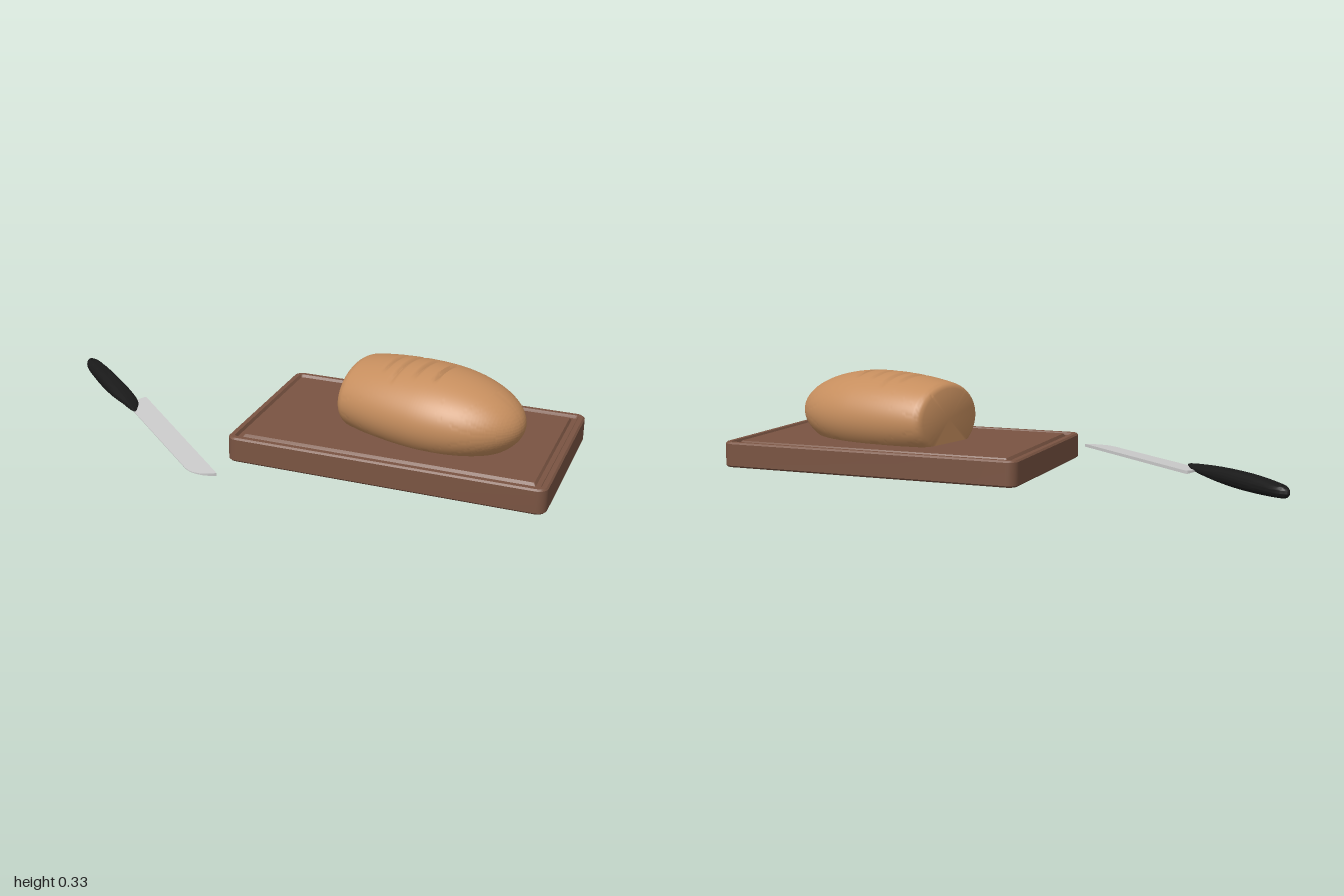
import * as THREE from 'three';
import { toCreasedNormals } from 'three/addons/utils/BufferGeometryUtils.js';

const paint = (color) => new THREE.MeshStandardMaterial({ color });

// Skin a list of closed rings of [x, y, z] points; loop joins the last ring to the first.
function loft(rings, loop = false) {
  const n = rings[0].length, m = rings.length, index = [];
  for (let i = 0; i < (loop ? m : m - 1); i++) {
    for (let j = 0; j < n; j++) {
      const a = i * n + j, b = i * n + (j + 1) % n;
      const k = ((i + 1) % m) * n;
      const c = k + (j + 1) % n, d = k + j;
      index.push(a, b, c, a, c, d);
    }
  }
  const geo = new THREE.BufferGeometry();
  geo.setAttribute('position', new THREE.Float32BufferAttribute(rings.flat(2), 3));
  geo.setIndex(index);
  geo.computeVertexNormals();
  return geo;
}

function part(name, geo, material) {
  const mesh = new THREE.Mesh(geo, material);
  mesh.name = name;
  return mesh;
}

// Rounded rectangle ring at height y, pulled in by inset
function boardRing(inset, y) {
  const w = 0.56 - inset, d = 0.335 - inset, r = Math.max(0.035 - inset, 0.004);
  const ring = [];
  for (let q = 0; q < 4; q++) {
    const sx = q === 0 || q === 3 ? 1 : -1, sz = q < 2 ? -1 : 1;
    for (let k = 0; k <= 6; k++) {
      const a = (q + k / 6) * Math.PI / 2;
      ring.push([sx * (w - r) + r * Math.cos(a), y, sz * (d - r) - r * Math.sin(a)]);
    }
  }
  return ring;
}

// Cutting board with eased edges and a juice groove
function makeBoard() {
  const profile = [
    [0.006, 0], [0, 0.006], [0, 0.084], [0.006, 0.09], [0.022, 0.09],
    [0.028, 0.08], [0.044, 0.08], [0.05, 0.09],
  ];
  const rings = profile.map(([inset, y]) => boardRing(inset, y));
  const centre = (y) => rings[0].map(() => [0, y, 0]);
  const geo = toCreasedNormals(loft([centre(0), ...rings, centre(0.09)]), 0.5);
  const board = part('cuttingBoard', geo, paint(0x7a5442));
  board.position.set(0.44, 0, -0.085);
  return board;
}

// Loaf: half an ellipsoid at the tip, a longer one at the sliced end, scored on top
function makeBread() {
  const length = 0.64, middle = 0.3, count = 160, around = 96;
  const slashes = [[0.146, 0.09], [0.2, 0.135], [0.27, 0.095], [0.345, 0.09]];
  const rings = [Array.from({ length: around }, () => [0, 0.175, 0])];
  for (let i = 0; i <= count; i++) {
    const u = length * Math.sin(i / count * Math.PI / 2);
    const reach = u < middle ? 0.5 : length - middle;
    let s = Math.sqrt(Math.max(0, 1 - ((u - middle) / reach) ** 2));
    if (u < 0.03) s *= 0.88 + 0.12 * Math.sqrt(1 - (1 - u / 0.03) ** 2);
    const ring = [];
    for (let j = 0; j < around; j++) {
      const a = j / around * Math.PI * 2;
      const z = 0.211 * s * Math.sin(a);
      let y = 0.175 + 0.155 * s * Math.cos(a);
      if (Math.cos(a) > 0) {
        for (const [at, half] of slashes) {
          const across = Math.max(0, 1 - Math.abs(u - at) / 0.011);
          y -= 0.012 * across * Math.sqrt(Math.max(0, 1 - (z / half) ** 2));
        }
      }
      ring.push([u, Math.max(y, 0.086), z]);
    }
    rings.push(ring);
  }
  const bread = part('breadLoaf', toCreasedNormals(loft(rings), 0.7), paint(0xc68e5e));
  bread.position.set(0.235, 0, -0.15);
  bread.rotation.y = -0.234;
  return bread;
}

// Handle: rounded skin between the hanging hole and the outline, top then underside
function makeHandle() {
  const outline = new THREE.CatmullRomCurve3([
    [0, 0], [0.03, -0.024], [0.15, -0.035], [0.3, -0.038], [0.483, -0.036], [0.54, -0.015],
    [0.575, 0.008], [0.5, 0.018], [0.4, 0.029], [0.2, 0.032], [0.03, 0.021],
  ].map(([x, z]) => new THREE.Vector3(x, 0, z)), true);
  const steps = 14, n = 88, rings = [];
  const addRing = (step, side) => {
    const angle = step / steps * Math.PI / 2, t = Math.sin(angle), ring = [];
    for (let j = 0; j < n; j++) {
      const a = j / n * Math.PI * 2, p = outline.getPoint(j / n);
      const x = THREE.MathUtils.lerp(0.04 - 0.016 * Math.cos(a), p.x, t);
      const z = THREE.MathUtils.lerp(-0.008 * Math.sin(a), p.z, t);
      const thick = 0.018 + 0.012 * Math.sin(Math.PI * THREE.MathUtils.clamp(x / 0.575, 0, 1));
      ring.push([x, 0.033 + side * thick * Math.cos(angle), z]);
    }
    rings.push(ring);
  };
  for (let i = 0; i <= steps; i++) addRing(i, 1);
  for (let i = steps - 1; i >= 0; i--) addRing(i, -1);
  return part('knifeHandle', toCreasedNormals(loft(rings, true), 0.9), paint(0x1a1a1a));
}

// Blade: flat outline, thick at the spine, thin at the edge, dipping toward the tip
function makeBlade() {
  const shape = new THREE.Shape();
  shape.moveTo(0.46, -0.07);
  shape.quadraticCurveTo(0.46, -0.077, 0.468, -0.077);
  shape.lineTo(1.168, -0.074);
  shape.quadraticCurveTo(1.16, -0.035, 1.129, -0.012);
  shape.quadraticCurveTo(1.11, 0.004, 1.075, 0.005);
  shape.lineTo(0.55, 0.008);
  shape.lineTo(0.47, -0.036);
  const geo = new THREE.ExtrudeGeometry(shape, { depth: 1, bevelEnabled: false, curveSegments: 10 });
  geo.translate(0, 0, -0.5);
  geo.rotateX(Math.PI / 2);
  const pos = geo.attributes.position;
  for (let i = 0; i < pos.count; i++) {
    const thick = THREE.MathUtils.mapLinear(pos.getZ(i), -0.077, 0.008, 0.011, 0.002);
    const base = THREE.MathUtils.mapLinear(pos.getX(i), 0.46, 1.168, 0.029, 0.016);
    pos.setY(i, base + pos.getY(i) * thick);
  }
  return part('knifeBlade', toCreasedNormals(geo, 0.5), paint(0xcccccc));
}

export function createModel() {
  const model = new THREE.Group();
  model.name = 'breadBoardAndKnife';

  const knife = new THREE.Group();
  knife.name = 'breadKnife';
  knife.add(makeHandle(), makeBlade());
  knife.position.set(-1, 0, -0.34);
  knife.rotation.y = -0.742;

  model.add(makeBoard(), makeBread(), knife);
  return model;
}
